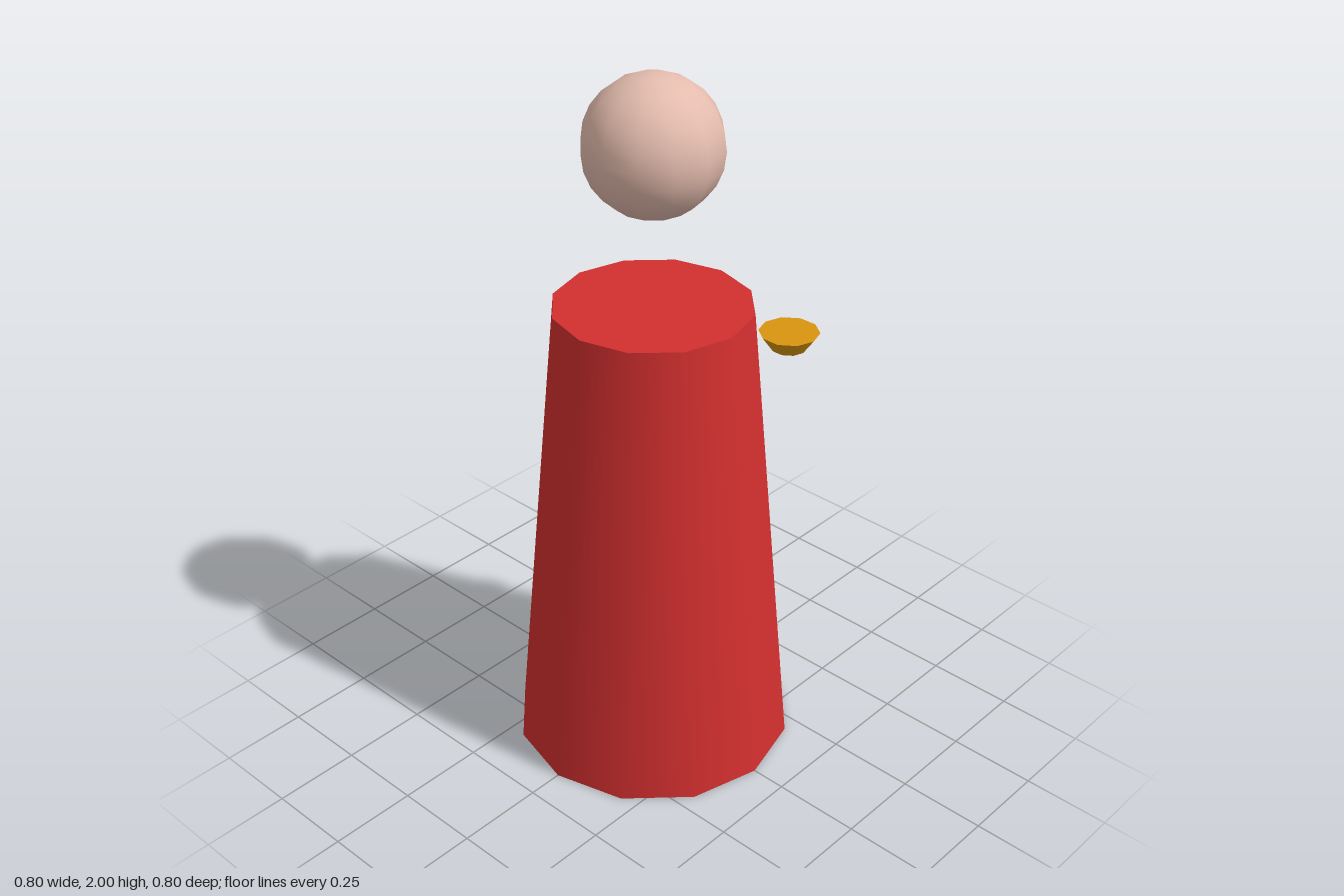
import * as THREE from 'three';

export function createModel() {
  const group = new THREE.Group();
  const material = (name, color) => {
    const m = new THREE.MeshStandardMaterial({ color });
    m.name = name;
    return m;
  };
  const add = (name, geometry, mat, x, y, z) => {
    const mesh = new THREE.Mesh(geometry, mat);
    mesh.name = name;
    mesh.position.set(x, y, z);
    group.add(mesh);
  };
  const red = material('robe red', 0xd32f2f);
  const skin = material('skin', 0xe4bcae);
  const gold = material('gold', 0xd8950f);

  // Tapered twelve-sided robe
  add('robe', new THREE.CylinderGeometry(0.273, 0.4, 1.367, 12), red, 0, 0.6835, 0);

  // Floating head
  add('head', new THREE.SphereGeometry(0.188, 12, 12), skin, 0, 1.812, 0);

  // Shallow closed dish at the left front
  add('dish', new THREE.CylinderGeometry(0.084, 0.05, 0.048, 10), gold, 0.315, 1.215, 0.209);

  return group;
}
